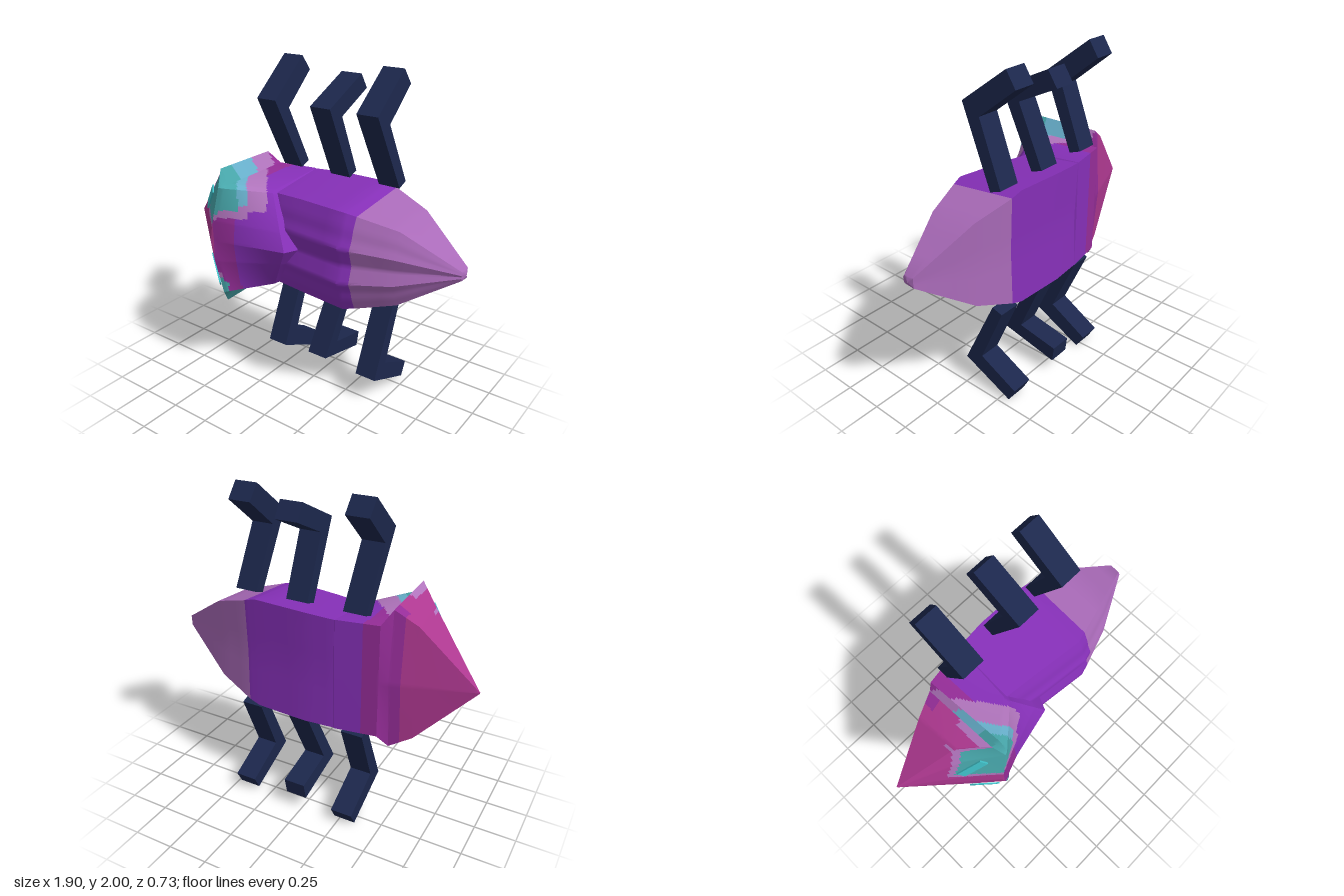
import * as THREE from 'three';
import { toCreasedNormals } from 'three/addons/utils/BufferGeometryUtils.js';

const mat = (name, color) => {
  const m = new THREE.MeshStandardMaterial({ color });
  m.name = name;
  return m;
};

// Closed ring from half a profile [x, height above centre, z], mirrored about y = cy
function ring(half, cy = 0.97) {
  const up = half.map(([x, d, z]) => new THREE.Vector3(x, cy + d, z));
  const down = half.slice(1, -1).reverse().map(([x, d, z]) => new THREE.Vector3(x, cy - d, z));
  return [...up, ...down];
}

// Skin through rings; each small face gets the material index returned by colourOf(point, band)
function loft(name, rings, sub, crease, materials, colourOf) {
  const bins = materials.map(() => []);
  const n = rings[0].length;
  for (let i = 0; i < rings.length - 1; i++) {
    for (let j = 0; j < n; j++) {
      const k = (j + 1) % n;
      const at = (u, v) => rings[i][j].clone().lerp(rings[i + 1][j], u)
        .lerp(rings[i][k].clone().lerp(rings[i + 1][k], u), v);
      for (let s = 0; s < sub; s++) {
        for (let t = 0; t < sub; t++) {
          const a = at(s / sub, t / sub), b = at((s + 1) / sub, t / sub);
          const c = at((s + 1) / sub, (t + 1) / sub), d = at(s / sub, (t + 1) / sub);
          const mid = a.clone().add(b).add(c).add(d).multiplyScalar(0.25);
          const bin = bins[colourOf(mid, i)];
          for (const p of [a, b, c, a, c, d]) bin.push(p.x, p.y, p.z);
        }
      }
    }
  }
  const geo = new THREE.BufferGeometry();
  geo.setAttribute('position', new THREE.Float32BufferAttribute(bins.flat(), 3));
  const creased = toCreasedNormals(geo, crease);
  let start = 0;
  bins.forEach((b, i) => {
    if (b.length) creased.addGroup(start, b.length / 3, i);
    start += b.length / 3;
  });
  const mesh = new THREE.Mesh(creased, materials);
  mesh.name = name;
  return mesh;
}

export function createModel() {
  const group = new THREE.Group();
  group.name = 'insect';
  const magenta = mat('magenta', 0xae3890), plum = mat('plum', 0x952d98);
  const purple = mat('purple', 0x8630b8), lilac = mat('lilac', 0xa96ab8);
  const teal = mat('teal', 0x47a6aa), steel = mat('pale blue', 0x68b0cc);
  const mauve = mat('mauve', 0xb074bc), navy = mat('navy', 0x1c274c);
  const bright = mat('bright teal', 0x40c0c8);

  // Abdomen: [x, back half height, front half height, front edge z, ripple, back z, centre y]
  const bodyRings = [
    [-0.30, 0.33, 0.27, 0.08, 0.5, -0.25, 0.97],
    [-0.20, 0.343, 0.29, 0.10, 0.8, -0.28, 0.97],
    [0.00, 0.35, 0.295, 0.125, 1, -0.295, 0.975],
    [0.32, 0.35, 0.295, 0.165, 1, -0.285, 0.98],
    [0.39, 0.328, 0.28, 0.145, 1, -0.28, 0.98],
    [0.62, 0.25, 0.22, 0.075, 0.9, -0.225, 0.985],
    [0.94, 0.03, 0.025, -0.04, 0.15, -0.105, 0.99],
    [0.95, 0.004, 0.004, -0.068, 0, -0.074, 0.99],
  ].map(([x, hb, hf, z, w, zb, cy]) => ring([
    [x, 0, z + 0.04 * w], [x, hf * 0.18, z + 0.055 * w], [x, hf * 0.36, z + 0.07 * w],
    [x, hf * 0.55, z + 0.045 * w], [x, hf * 0.75, z + 0.03 * w], [x, hf, z],
    [x, hb, zb], [x, 0, zb + 0.01 * w],
  ], cy));
  group.add(loft('abdomen', bodyRings, 3, 0.7, [purple, lilac], (p) => (p.x > 0.39 ? 1 : 0)));

  // Head cone, raised rim and arrow-shaped collar
  const headRings = [
    ring([[-0.95, 0, -0.036], [-0.95, 0.001, -0.037], [-0.95, 0.002, -0.038],
      [-0.95, 0.003, -0.04], [-0.95, 0.003, -0.042], [-0.95, 0, -0.044]], 0.95),
    ring([[-0.62, 0, 0.25], [-0.62, 0.10, 0.24], [-0.61, 0.28, 0.19],
      [-0.60, 0.375, 0.13], [-0.62, 0.35, -0.14], [-0.62, 0, -0.165]], 0.96),
    ring([[-0.50, 0, 0.362], [-0.48, 0.12, 0.36], [-0.44, 0.34, 0.335],
      [-0.475, 0.433, 0.27], [-0.49, 0.43, -0.18], [-0.49, 0, -0.215]], 0.967),
    ring([[-0.48, 0, 0.355], [-0.455, 0.13, 0.352], [-0.42, 0.335, 0.328],
      [-0.41, 0.347, 0.27], [-0.44, 0.347, -0.24], [-0.44, 0, -0.24]]),
    ring([[-0.03, 0, 0.25], [-0.085, 0.1, 0.215], [-0.20, 0.295, 0.13],
      [-0.21, 0.304, 0.10], [-0.19, 0.346, -0.282], [-0.19, 0, -0.283]]),
    ring([[0.015, 0, 0.15], [-0.05, 0.11, 0.13], [-0.185, 0.285, 0.09],
      [-0.19, 0.29, 0.07], [-0.18, 0.335, -0.275], [-0.18, 0, -0.27]]),
  ];
  const headColour = (p, band) => {
    const upper = p.y > 0.97;
    const d = Math.abs(p.y - 0.97);
    const base = p.x < (p.z < -0.1 ? -0.55 : -0.48) ? 0 : p.x < -0.35 ? 1 : 2;
    if (band < 2) { // patch round each eye
      if (p.z < 0.05) return base;
      const inner = upper ? d - 0.115 : d - 0.12 - 0.7 * Math.max(0, p.x + 0.62);
      const outer = upper ? p.x + 0.68 - 0.38 * Math.max(0, d - 0.12) - 1.2 * Math.max(0, d - 0.34)
        : p.x + 0.665 - 0.5 * Math.max(0, d - 0.15);
      const edge = Math.min(inner, outer);
      return edge > 0 ? 3 : edge > -0.028 ? 5 : base;
    }
    if (band === 2) { // rim
      if (p.z < (upper ? -0.18 : -0.12)) return base;
      const inner = d - (upper ? 0.17 : 0.24);
      if (inner < 0) return inner > -0.035 ? 5 : base;
      if (!upper) return p.z > -0.02 ? 3 : 5;
      return p.z > 0.17 ? 3 : p.z > -0.01 ? 4 : 5;
    }
    if (!upper) return d > 0.27 && p.x < -0.41 && p.z > 0 ? 3 : base; // collar
    const reach = p.x + 0.44 - 0.8 * (p.z + 0.05);
    if (d > 0.2 && reach < -0.17) return 3;
    if (d > 0.23 && reach < -0.1) return 4;
    if (d > 0.155 && reach < -0.1) return 5;
    return d > 0.2 && reach < 0.05 ? 5 : base;
  };
  group.add(loft('headAndCollar', headRings, 24, 0.4,
    [magenta, plum, purple, teal, steel, mauve], headColour));

  // Eyes: thin slanted plates lying on the head
  for (const [name, side, x, y, z] of [
    ['upperEye', 1, -0.6, 1.192, 0.24], ['lowerEye', -1, -0.562, 0.725, 0.266]]) {
    const along = new THREE.Vector3(0.13, 0.16 * side, 0.075).normalize();
    const out = new THREE.Vector3(-0.58, 0.25 * side, 0.78);
    out.addScaledVector(along, -out.dot(along)).normalize();
    const across = new THREE.Vector3().crossVectors(out, along);
    const eye = new THREE.Mesh(new THREE.BoxGeometry(0.2, 0.055, 0.009), bright);
    eye.applyMatrix4(new THREE.Matrix4().makeBasis(along, across, out).setPosition(x, y, z));
    eye.name = name;
    group.add(eye);
  }

  // Legs: bent bars cut from a (z, y) outline, leaning along x
  function leg(name, x, lean, outline) {
    const shape = new THREE.Shape(outline.map(([z, y]) => new THREE.Vector2(-z, y)));
    const geo = new THREE.ExtrudeGeometry(shape, { depth: 0.135, bevelEnabled: false });
    geo.translate(0, 0, -0.0675);
    geo.rotateY(Math.PI / 2);
    const pos = geo.attributes.position;
    const y0 = outline[0][1];
    for (let i = 0; i < pos.count; i++) {
      pos.setX(i, pos.getX(i) + x + lean * Math.abs(pos.getY(i) - y0));
    }
    geo.computeVertexNormals();
    const mesh = new THREE.Mesh(geo, navy);
    mesh.name = name;
    group.add(mesh);
  }
  const upper = (top, low) => [[-0.19, 1.34], [0.02, 1.78], top, low, [-0.1, 1.72], [-0.26, 1.365]];
  const lower = (low, top, k) => [[-0.19, 0.62], [-0.26, 0.60], [-0.105, 0.235 + k], top, low, [0.02, 0.17 + k]];
  leg('upperFrontLeg', -0.295, -0.07, upper([-0.26, 2.0], [-0.325, 1.91]));
  leg('upperMiddleLeg', 0.055, 0, upper([-0.29, 1.93], [-0.35, 1.84]));
  leg('upperRearLeg', 0.39, -0.07, upper([-0.265, 1.99], [-0.33, 1.9]));
  leg('lowerFrontLeg', -0.292, 0.02, lower([-0.31, 0.005], [-0.36, 0.09], 0));
  leg('lowerMiddleLeg', 0.06, -0.05, lower([-0.35, 0.10], [-0.365, 0.2], 0.02));
  leg('lowerRearLeg', 0.392, 0.02, lower([-0.315, 0.025], [-0.36, 0.11], 0));
  return group;
}
